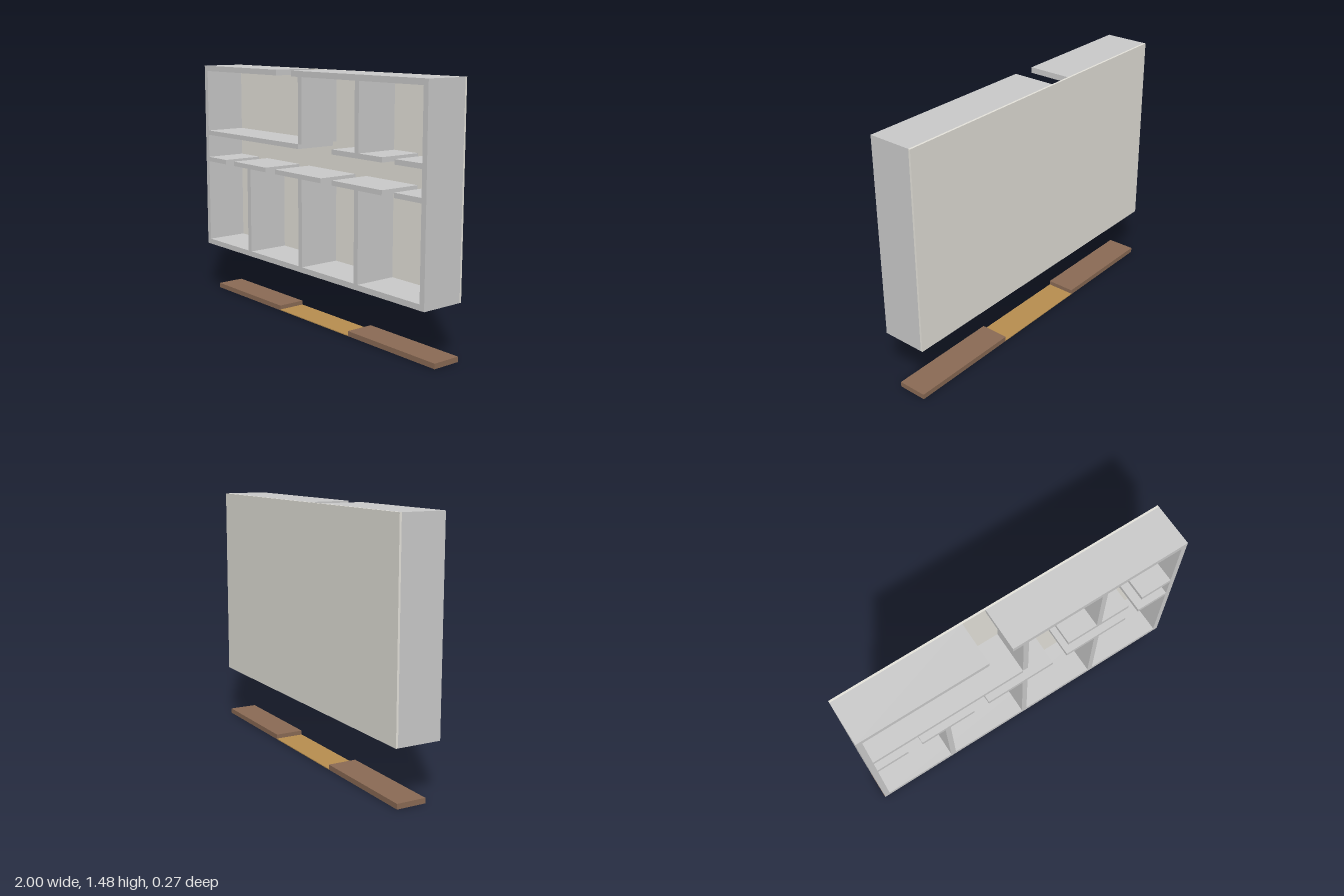
import * as THREE from 'three';

const wallMat = new THREE.MeshStandardMaterial({ color: 0xcccccc });
const floorMat = new THREE.MeshStandardMaterial({ color: 0xe6e4dc });
const brownMat = new THREE.MeshStandardMaterial({ color: 0x8b6b55 });
const goldMat = new THREE.MeshStandardMaterial({ color: 0xb98f50 });

// Box given by its extents on each axis
function block(name, mat, [x0, x1], [y0, y1], [z0, z1]) {
  const mesh = new THREE.Mesh(new THREE.BoxGeometry(x1 - x0, y1 - y0, z1 - z0), mat);
  mesh.position.set((x0 + x1) / 2, (y0 + y1) / 2, (z0 + z1) / 2);
  mesh.name = name;
  return mesh;
}

export function createModel() {
  const model = new THREE.Group();
  model.name = 'floorPlan';

  const back = -0.134, floorTop = -0.122, front = 0.134;
  const bottom = 0.318, top = 1.475, t = 0.033;
  const depth = [floorTop, front];

  // Floor plate behind all the rooms
  model.add(block('floor', floorMat, [-1, 1], [bottom, top], [back, floorTop]));

  // Outer walls, with the entrance gap in the top one
  const outer = new THREE.Group();
  outer.name = 'outerWalls';
  outer.add(
    block('bottomWall', wallMat, [-1, 1], [bottom, bottom + t], depth),
    block('topWallLeft', wallMat, [-1, -0.23], [top - t, top], depth),
    block('topWallRight', wallMat, [-0.09, 1], [top - t, top], depth)
  );
  for (const s of [-1, 1]) {
    const x = s < 0 ? [-1, -1 + t] : [1 - t, 1];
    outer.add(block('sideWall', wallMat, x, [bottom + t, top - t], depth));
  }
  model.add(outer);

  // Corridor walls, broken by doorways
  const inner = 1 - t;
  const corridors = [
    { name: 'upperCorridorWall', y: [1.035, 1.063],
      runs: [[-inner, -0.025], [0.273, 0.679], [0.77, inner]] },
    { name: 'lowerCorridorWall', y: [0.864, 0.892],
      runs: [[-inner, -0.773], [-0.682, -0.345], [-0.251, 0.179], [0.273, 0.679], [0.77, inner]] }
  ];
  for (const { name, y, runs } of corridors) {
    const group = new THREE.Group();
    group.name = name;
    for (const x of runs) group.add(block('wallSegment', wallMat, x, y, depth));
    model.add(group);
  }

  // Partitions between rooms
  const partitions = new THREE.Group();
  partitions.name = 'partitions';
  for (const x of [-0.535, -0.026, 0.462])
    partitions.add(block('lowerPartition', wallMat, [x, x + t], [bottom + t, 0.864], depth));
  partitions.add(
    block('upperPartition', wallMat, [-0.026, 0.007], [1.063, top - t], depth),
    block('upperPartition', wallMat, [0.462, 0.495], [1.063, top - t], depth)
  );
  model.add(partitions);

  // Separate strip at ground level: two thick slabs joined by a thin plank
  const strip = [floorTop, 0.05];
  model.add(
    block('rightSlab', brownMat, [-1, -0.32], [0, 0.03], strip),
    block('leftSlab', brownMat, [0.32, 1], [0, 0.03], strip),
    block('middlePlank', goldMat, [-0.32, 0.32], [0, 0.005], strip)
  );
  return model;
}
